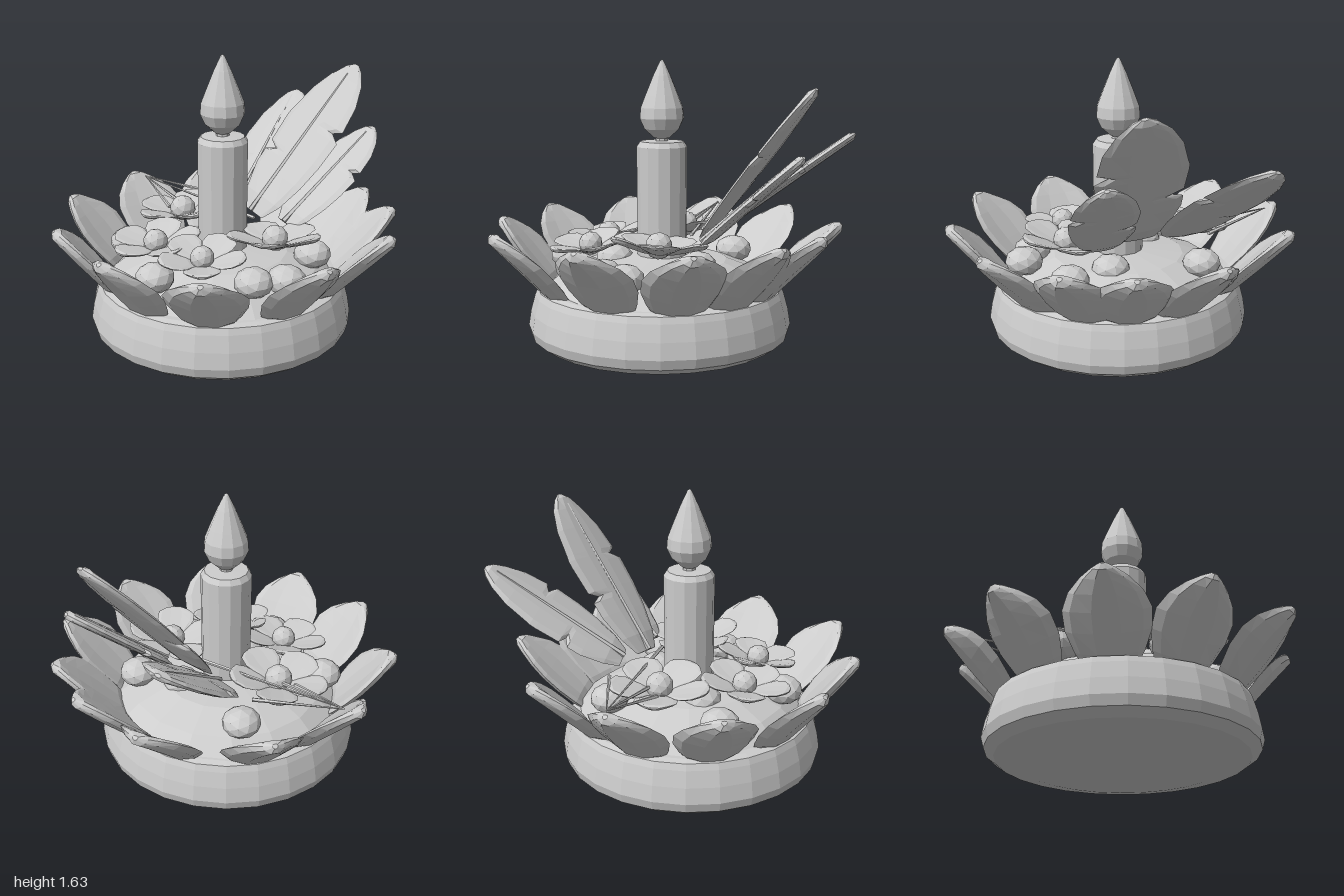
import * as THREE from 'three';

const V = (x, y, z) => new THREE.Vector3(x, y, z);

// Closed blade lofted along from -> to. rows: [t, rightHalfWidth, leftHalfWidth].
// The upper face points along side x direction; cup lifts the edges.
function bladeGeometry(from, to, side, rows, thick, cup = 0) {
  const N = 10;
  const axis = to.clone().sub(from);
  const d = axis.clone().normalize();
  const n = side.clone().cross(d).normalize();
  const s = n.clone().cross(d);
  const pos = [], index = [];
  rows.forEach(([t, wr, wl = wr], i) => {
    const end = i === 0 || i === rows.length - 1 ? 0.35 : 1;
    for (let k = 0; k < N; k++) {
      const a = (k / N) * Math.PI * 2;
      const c = Math.cos(a);
      const w = c < 0 ? wr : wl;
      const lift = Math.sin(a) * thick * end + cup * c * c * w;
      const p = from.clone().addScaledVector(axis, t).addScaledVector(s, c * w).addScaledVector(n, lift);
      pos.push(p.x, p.y, p.z);
      if (i < rows.length - 1) {
        const q = i * N + k, r = i * N + (k + 1) % N;
        index.push(q, r, q + N, r, r + N, q + N);
      }
    }
  });
  const last = (rows.length - 1) * N;
  for (let k = 1; k < N - 1; k++) {
    index.push(0, k + 1, k, last, last + k, last + k + 1);
  }
  const g = new THREE.BufferGeometry();
  g.setAttribute('position', new THREE.Float32BufferAttribute(pos, 3));
  g.setIndex(index);
  g.computeVertexNormals();
  return g;
}

export function createModel() {
  const model = new THREE.Group();
  const grey = new THREE.MeshStandardMaterial({ color: 0xcccccc, flatShading: true });
  grey.name = 'pale grey';

  const add = (name, geometry, parent = model) => {
    const m = new THREE.Mesh(geometry, grey);
    m.name = name;
    parent.add(m);
    return m;
  };
  const lathe = (pts, sides) => new THREE.LatheGeometry(pts.map(([r, y]) => new THREE.Vector2(r, y)), sides);
  const rod = (name, a, b, r0, r1) => {
    const m = add(name, new THREE.CylinderGeometry(r1, r0, a.distanceTo(b), 5));
    m.position.copy(a).lerp(b, 0.5);
    m.quaternion.setFromUnitVectors(V(0, 1, 0), b.clone().sub(a).normalize());
  };

  // Round bowl with a low mound inside
  add('bowl', lathe([[0, 0.005], [0.56, 0.01], [0.69, 0.035], [0.745, 0.075], [0.76, 0.13],
    [0.745, 0.22], [0.72, 0.31], [0.705, 0.345], [0.67, 0.355], [0, 0.36]], 26)).position.z = 0.05;
  add('mound', lathe([[0.66, 0.35], [0.56, 0.43], [0.38, 0.5], [0, 0.54]], 16)).position.z = 0.04;

  // Ring of cupped outer petals, given by their tips in plan
  const petalRows = [[0, 0.13], [0.15, 0.175], [0.35, 0.215], [0.55, 0.222], [0.72, 0.185],
    [0.86, 0.12], [0.95, 0.06], [1, 0.015]];
  const tips = [[0.98, 0.13], [0.73, 0.74], [0.2, 0.98], [-0.35, 0.94], [-0.82, 0.57], [-0.99, 0.01],
    [-0.84, -0.53], [-0.28, -0.95], [0.2, -0.95], [0.55, -0.81], [0.88, -0.45]];
  tips.forEach(([x, z]) => {
    const a = Math.atan2(z - 0.05, x);
    const from = V(Math.cos(a) * 0.62, 0.31, 0.05 + Math.sin(a) * 0.62);
    add('outerPetal', bladeGeometry(from, V(x, 0.715, z), V(-Math.sin(a), 0, Math.cos(a)), petalRows, 0.035, 0.22));
  });

  // Candle, wick and flame
  const candle = new THREE.Group();
  candle.name = 'candle';
  candle.position.z = 0.035;
  model.add(candle);
  add('candleBody', lathe([[0.142, 0.4], [0.145, 1.15], [0.125, 1.18], [0, 1.185]], 14), candle);
  add('wick', new THREE.CylinderGeometry(0.035, 0.04, 0.06, 8), candle).position.y = 1.19;
  add('flame', lathe([[0, 1.19], [0.045, 1.2], [0.1, 1.25], [0.127, 1.31], [0.122, 1.37],
    [0.095, 1.44], [0.05, 1.55], [0.012, 1.63], [0, 1.64]], 12), candle);

  // Three notched leaves standing at the back, each with a midrib
  const leafRows = [[0, 0.1], [0.1, 0.17], [0.25, 0.22, 0.23], [0.34, 0.235], [0.37, 0.24, 0.16], [0.4, 0.245, 0.235],
    [0.56, 0.25], [0.6, 0.17, 0.25], [0.63, 0.235, 0.24], [0.78, 0.205], [0.9, 0.14], [0.97, 0.07], [1, 0.02]];
  const leaves = [
    [V(-0.04, 0.66, -0.22), V(0.14, 1.49, -0.87), 1],
    [V(-0.23, 0.68, -0.28), V(-0.5, 1.21, -0.98), 0.88],
    [V(0.19, 0.64, -0.28), V(0.32, 1.15, -0.85), 0.75],
  ];
  leaves.forEach(([a, b, k]) => {
    const rows = leafRows.map(([t, r, l = r]) => [t, r * k, l * k]);
    add('backLeaf', bladeGeometry(a, b, V(1, 0, 0), rows, 0.026, 0));
    const n = V(1, 0, 0).cross(b.clone().sub(a)).normalize().multiplyScalar(0.022);
    rod('leafRib', a.clone().add(n), a.clone().lerp(b, 0.93).add(n), 0.016, 0.006);
  });

  // Five-petalled flowers with a round heart
  const bloomRows = [[0, 0.025], [0.25, 0.07], [0.55, 0.11], [0.78, 0.108], [0.93, 0.065], [1, 0.025]];
  const flowers = [
    // x, y, z, size, turn, tilt x, tilt z
    [-0.4, 0.61, 0.03, 1.05, 0.3, 0.05, 0.08],
    [0.34, 0.62, -0.07, 1, 0.9, -0.05, 0.1],
    [-0.12, 0.58, 0.42, 0.95, 0.25, 0.12, 0],
    [0.25, 0.59, 0.37, 0.9, 0.65, 0.1, -0.1],
  ];
  flowers.forEach(([x, y, z, size, turn, tx, tz]) => {
    const f = new THREE.Group();
    f.name = 'flower';
    f.position.set(x, y, z);
    f.rotation.set(tx, 0, tz);
    f.scale.setScalar(size);
    model.add(f);
    for (let i = 0; i < 5; i++) {
      const a = turn + (i / 5) * Math.PI * 2;
      const c = Math.cos(a), s = Math.sin(a);
      add('flowerPetal', bladeGeometry(V(c * 0.03, -0.02, s * 0.03), V(c * 0.27, 0.05, s * 0.27), V(-s, 0, c), bloomRows, 0.014, 0.15), f);
    }
    add('flowerHeart', new THREE.IcosahedronGeometry(0.075, 1), f).position.y = 0.025;
  });

  // Small buds filling the gaps between the flowers
  [[-0.44, 0.4], [0.56, 0.04], [0.1, 0.58], [0.38, -0.32], [-0.4, -0.28], [0.48, 0.2], [0.08, 0.3], [-0.2, 0.2], [0.12, -0.22]]
    .forEach(([x, z]) => {
      const bud = add('bud', new THREE.IcosahedronGeometry(0.11, 1));
      bud.position.set(x, 0.5, z);
      bud.scale.y = 0.75;
    });

  // Thin stems fanning out on the right side
  const root = V(-0.9, 0.7, -0.03);
  [V(0.05, 0.66, -0.16), V(-0.42, 0.64, 0.0), V(-0.45, 0.66, -0.25), V(-0.5, 0.62, 0.06)]
    .forEach((end) => rod('stem', root, end, 0.003, 0.012));

  return model;
}
